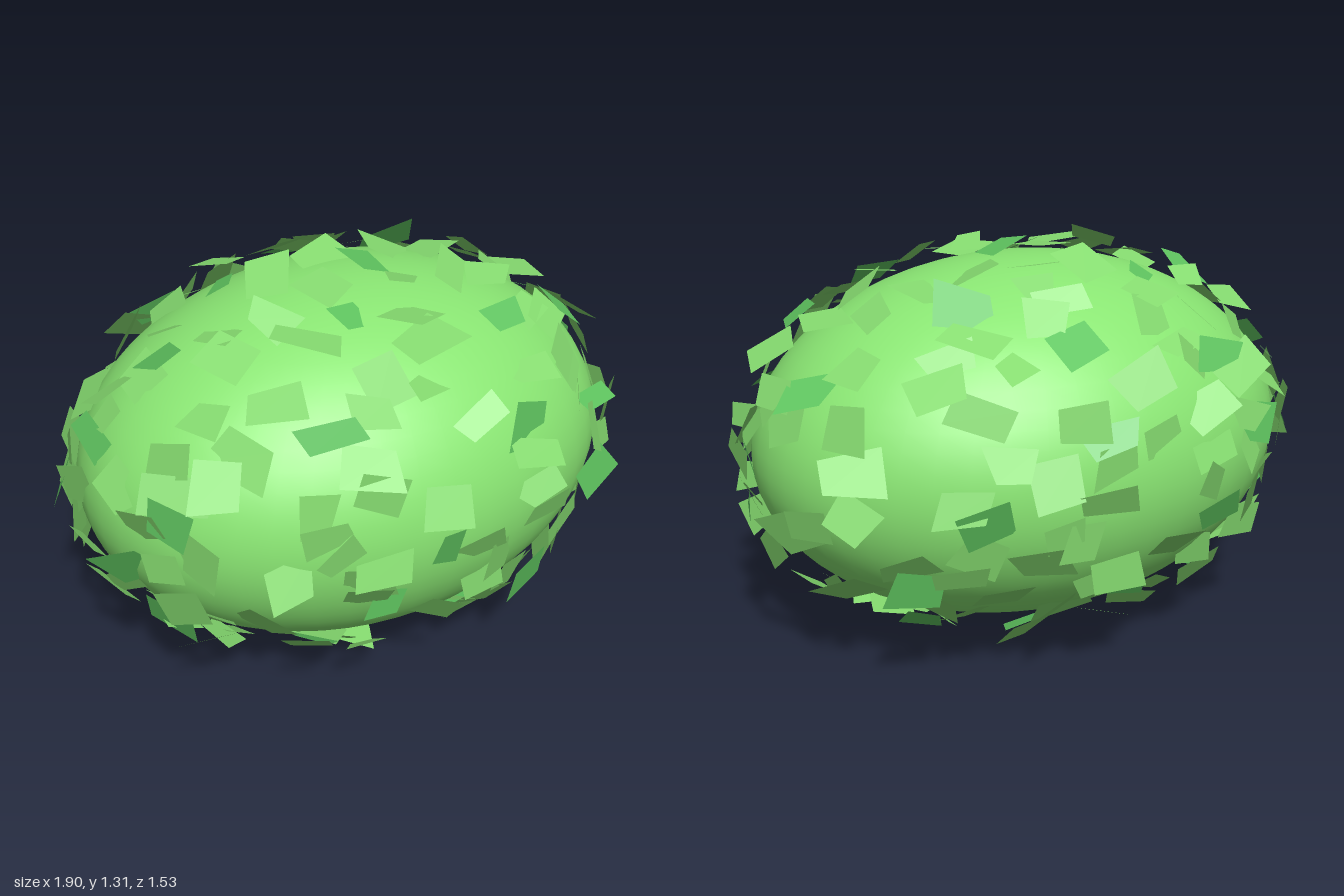
import * as THREE from 'three';

// Small seeded generator
function seeded(seed) {
  return () => {
    seed = (seed * 1664525 + 1013904223) >>> 0;
    return seed / 4294967296;
  };
}

const CENTRE = new THREE.Vector3(0.01, 0.657, 0.01);
const RADII = new THREE.Vector3(0.88, 0.572, 0.677);
const UP = new THREE.Vector3(0, 1, 0);

// Four corners of one irregular leaf lying loosely on the body in direction `unit`
function leafCorners(unit, random) {
  const spread = (amount) => (random() * 2 - 1) * amount;
  const normal = unit.clone().divide(RADII).normalize();
  const centre = unit.clone().multiply(RADII).add(CENTRE).addScaledVector(normal, 0.005 + random() * 0.055);

  // Leaf axes: mostly level, with some roll and tilt
  const across = new THREE.Vector3().crossVectors(UP, normal).normalize();
  across.applyAxisAngle(normal, spread(0.5));
  const along = new THREE.Vector3().crossVectors(normal, across);
  across.addScaledVector(normal, spread(0.4)).normalize();
  along.addScaledVector(normal, spread(0.5)).normalize();

  const w = 0.06 + random() * 0.03;
  const h = 0.042 + random() * 0.03;
  return [[-1, -1], [1, -1], [1, 1], [-1, 1]].map(([u, v]) => centre.clone()
    .addScaledVector(across, u * w + spread(0.025))
    .addScaledVector(along, v * h + spread(0.018)));
}

// One mesh of separate flat leaves
function leafMesh(name, leaves, color) {
  const corners = leaves.flatMap(([a, b, c, d]) => [a, b, c, a, c, d]);
  const geometry = new THREE.BufferGeometry().setFromPoints(corners);
  geometry.computeVertexNormals();
  const mesh = new THREE.Mesh(geometry, new THREE.MeshStandardMaterial({ color, side: THREE.DoubleSide }));
  mesh.name = name;
  return mesh;
}

export function createModel() {
  const bush = new THREE.Group();
  bush.name = 'bush';

  // Smooth rounded body
  const core = new THREE.Mesh(
    new THREE.SphereGeometry(1, 48, 32).scale(RADII.x, RADII.y, RADII.z).translate(CENTRE.x, CENTRE.y, CENTRE.z),
    new THREE.MeshStandardMaterial({ color: 0x8ae673 })
  );
  core.name = 'foliageCore';
  bush.add(core);

  // Leaves strewn over a jittered spiral, every sixth one a deeper green
  const random = seeded(23);
  const light = [];
  const deep = [];
  const count = 230;
  for (let i = 0; i < count; i++) {
    const y = 1 - (2 * (i + 0.15 + random() * 0.7)) / count;
    const angle = i * 2.399963 + (random() - 0.5) * 0.5;
    const r = Math.sqrt(1 - y * y);
    const unit = new THREE.Vector3(r * Math.cos(angle), y, r * Math.sin(angle));
    (i % 6 === 0 ? deep : light).push(leafCorners(unit, random));
  }
  bush.add(leafMesh('lightLeaves', light, 0x86dc70));
  bush.add(leafMesh('deepLeaves', deep, 0x60c660));
  return bush;
}
